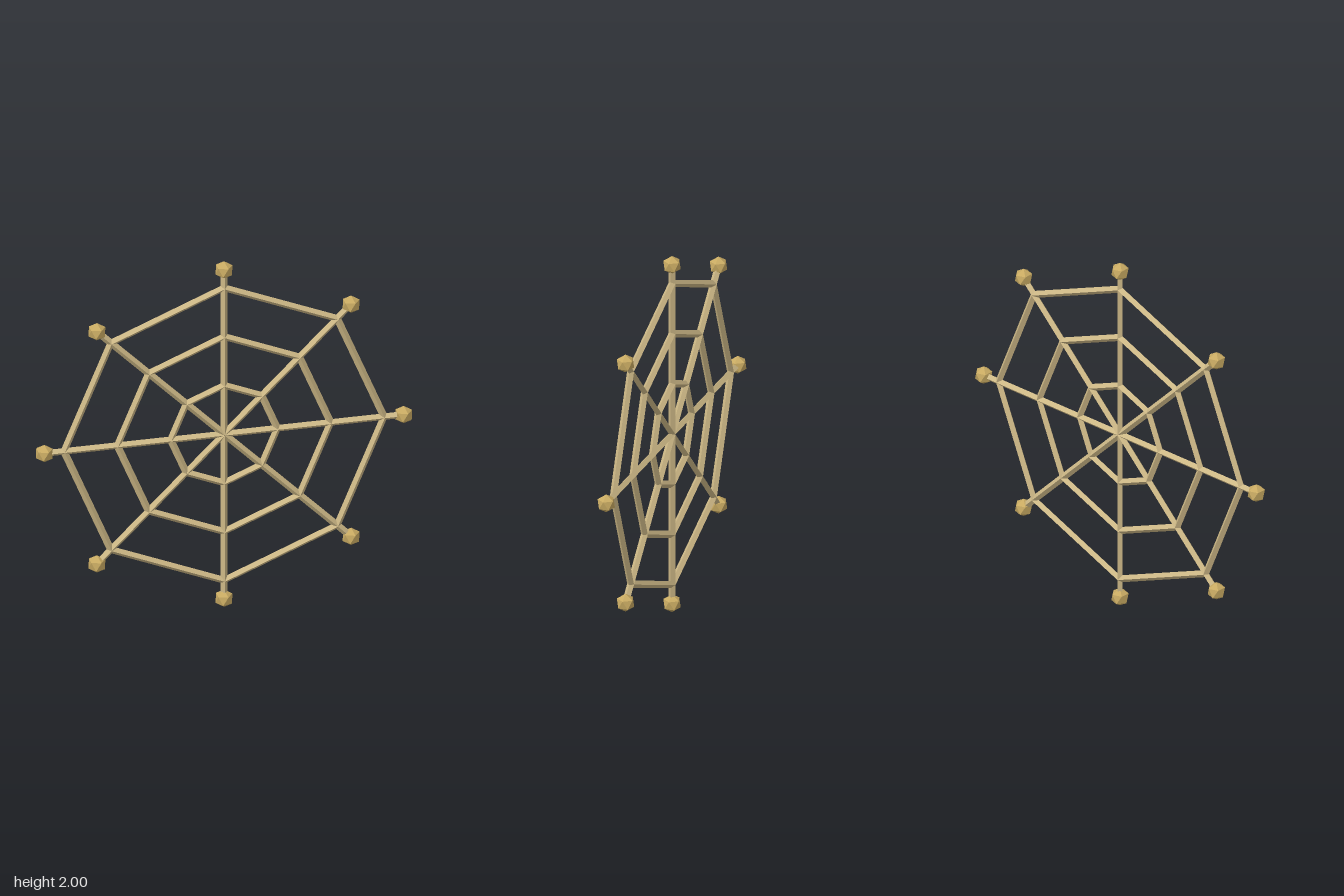
import * as THREE from 'three';

const SIDES = 8;
const ROD_RADIUS = 0.019;
const SPOKE_LENGTH = 0.95;
const RING_RADII = [0.282, 0.564, 0.846];
const BALL_RADIUS = 0.05;

const strand = new THREE.MeshStandardMaterial({ color: 0xcdb886 });
strand.name = 'pale tan';
const knob = new THREE.MeshStandardMaterial({ color: 0xc8aa62 });
knob.name = 'golden tan';

// Point in the web's plane, counted clockwise from the top
function corner(i, radius) {
  const a = (i / SIDES) * Math.PI * 2;
  return new THREE.Vector3(Math.sin(a) * radius, Math.cos(a) * radius, 0);
}

// Four-sided rod between two points, one edge facing the front
function rod(a, b, name) {
  const dir = b.clone().sub(a);
  const smooth = new THREE.CylinderGeometry(ROD_RADIUS, ROD_RADIUS, dir.length(), 4);
  const geometry = smooth.toNonIndexed();
  geometry.computeVertexNormals();
  const mesh = new THREE.Mesh(geometry, strand);
  mesh.position.copy(a).add(b).multiplyScalar(0.5);
  mesh.rotation.z = Math.atan2(-dir.x, dir.y);
  mesh.name = name;
  return mesh;
}

export function createModel() {
  const model = new THREE.Group();
  model.name = 'web';
  const spokes = new THREE.Group();
  spokes.name = 'spokes';
  const knobs = new THREE.Group();
  knobs.name = 'knobs';
  model.add(spokes, knobs);

  // Faceted ball standing on a corner
  const ball = new THREE.IcosahedronGeometry(BALL_RADIUS, 0);
  ball.rotateZ(-Math.atan(2 / (1 + Math.sqrt(5))));

  // Spokes from the centre, each with a ball at its tip
  for (let i = 0; i < SIDES; i++) {
    const tip = corner(i, SPOKE_LENGTH);
    spokes.add(rod(new THREE.Vector3(), tip, 'spoke'));
    const mesh = new THREE.Mesh(ball, knob);
    mesh.position.copy(tip);
    mesh.name = 'knob';
    knobs.add(mesh);
  }

  // Eight-sided rings
  for (const radius of RING_RADII) {
    const ring = new THREE.Group();
    ring.name = 'ring';
    for (let i = 0; i < SIDES; i++) {
      ring.add(rod(corner(i, radius), corner(i + 1, radius), 'ringStrand'));
    }
    model.add(ring);
  }

  model.position.y = 1;
  return model;
}
